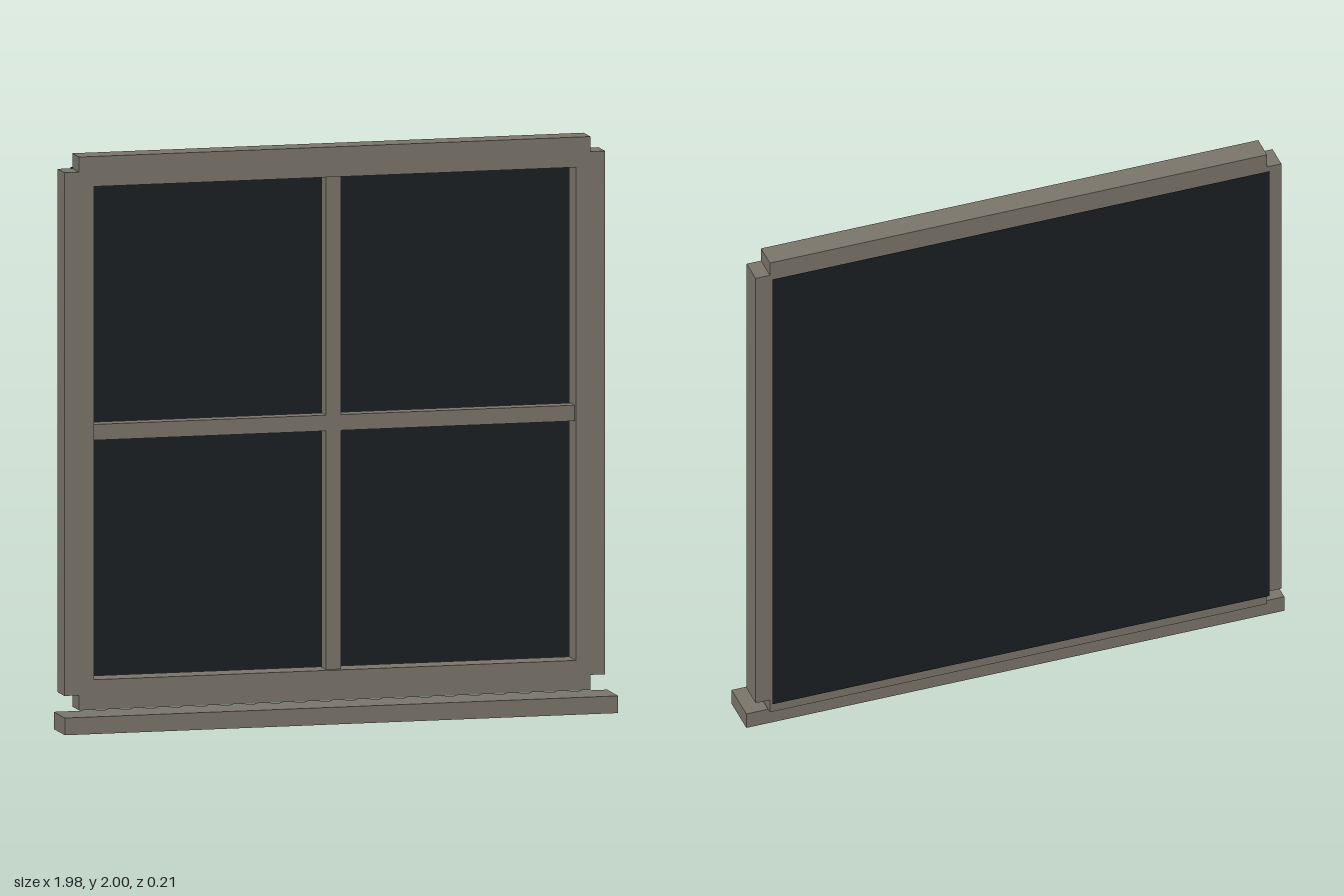
import * as THREE from 'three';

export function createModel() {
  const model = new THREE.Group();
  model.name = 'window';
  const wood = new THREE.MeshStandardMaterial({ color: 0x7a756a });
  const dark = new THREE.MeshStandardMaterial({ color: 0x1a1f22, side: THREE.DoubleSide });

  const add = (name, geometry, material, x, y, z) => {
    const mesh = new THREE.Mesh(geometry, material);
    mesh.name = name;
    mesh.position.set(x, y, z);
    model.add(mesh);
  };
  const bar = (name, w, h, d, x, y, z) =>
    add(name, new THREE.BoxGeometry(w, h, d), wood, x, y, z);

  const size = 1.826;    // frame size along the centre lines of its members
  const width = 0.105;   // face width of a frame member
  const depth = 0.09;
  const midY = 1.036;
  const frameZ = -0.032;
  const half = size / 2;

  // Outer frame, with open notches where the members meet at the corners
  bar('topRail', size, width, depth, 0, midY + half, frameZ);
  bar('bottomRail', size, width, depth, 0, midY - half, frameZ);
  bar('leftStile', width, size, depth, half, midY, frameZ);
  bar('rightStile', width, size, depth, -half, midY, frameZ);

  // Glazing bars, slightly recessed from the frame front
  const opening = size - width;
  const thin = 0.055;
  bar('verticalGlazingBar', thin, opening, thin, 0, midY, frameZ);
  bar('horizontalGlazingBar', opening, thin, thin, 0, midY, frameZ);

  // Single dark pane standing just behind the frame
  add('glassPane', new THREE.PlaneGeometry(size, size), dark, 0, midY, -0.103);

  // Sill, separated from the frame by a narrow gap
  bar('sill', 1.976, 0.06, 0.148, 0, 0.03, 0.029);

  return model;
}
